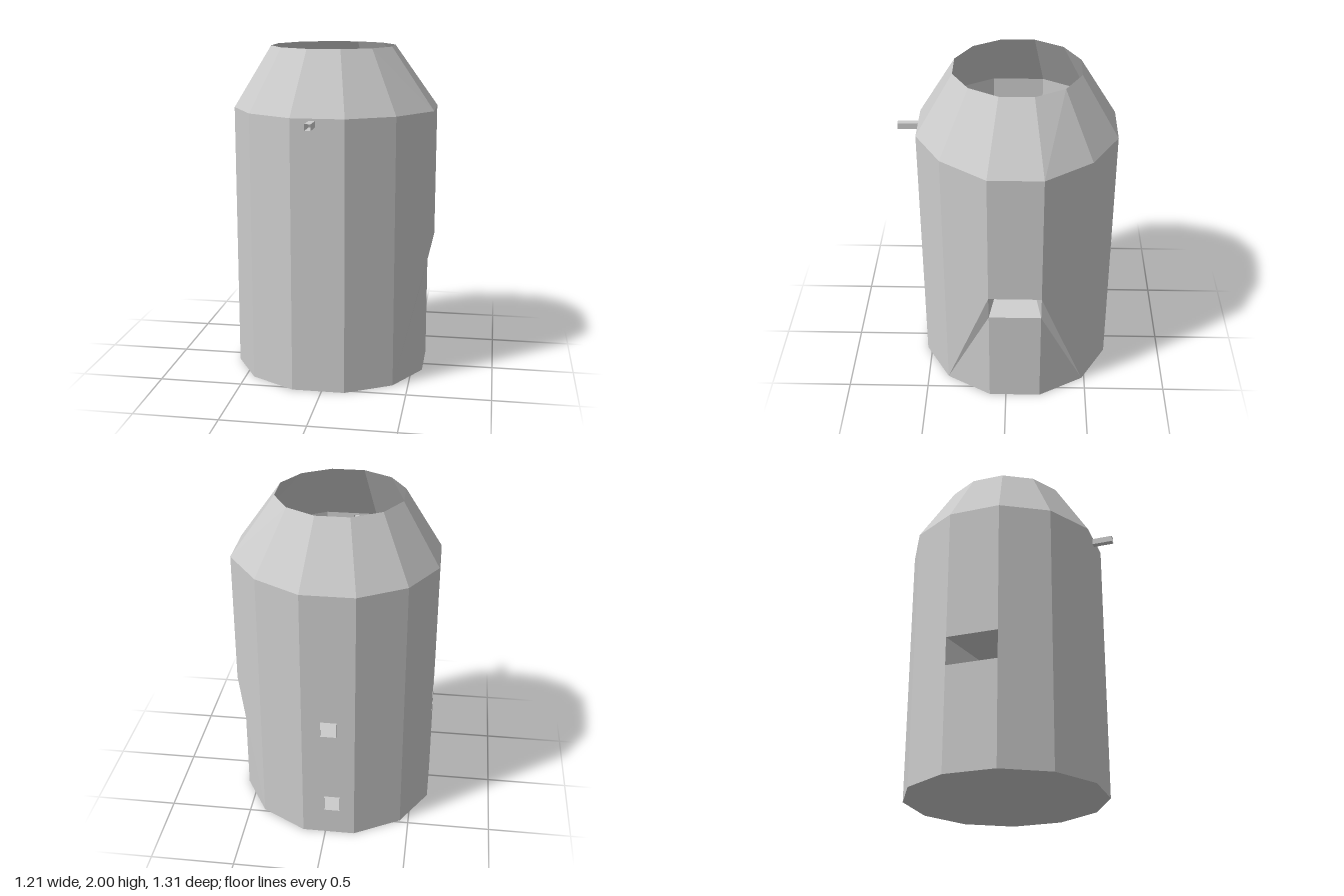
import * as THREE from 'three';

const CX = -0.02, CZ = -0.055;          // axis of the twelve-sided body
const R = 0.606, R_TOP = 0.379;         // body and rim radius
const SHOULDER = 1.63, TOP = 2;
const SLOT_LOW = 0.635, SLOT_HIGH = 0.81;

const material = new THREE.MeshStandardMaterial({
  color: 0xcccccc, flatShading: true, side: THREE.DoubleSide,
});

// Mesh from convex polygons, each fanned out from its first corner
function polyMesh(name, polys) {
  const pos = [];
  for (const p of polys) {
    for (let i = 1; i < p.length - 1; i++) pos.push(...p[0], ...p[i], ...p[i + 1]);
  }
  const g = new THREE.BufferGeometry();
  g.setAttribute('position', new THREE.Float32BufferAttribute(pos, 3));
  g.computeVertexNormals();
  const m = new THREE.Mesh(g, material);
  m.name = name;
  return m;
}

// Corner k of the body at height y; the +x side steps out above its slot
function corner(k, y, r = R) {
  const i = (k + 12) % 12;
  const a = THREE.MathUtils.degToRad(15 + 30 * i);
  const step = (i === 0 || i === 11) && y >= SLOT_HIGH && y < TOP ? 0.04 : 0;
  return [CX + r * Math.cos(a) + step, y, CZ + r * Math.sin(a)];
}

function strip(k, y0, y1) {
  return [corner(k + 1, y0), corner(k, y0), corner(k, y1), corner(k + 1, y1)];
}

// Flat front (s = 1) or back (s = -1) panel with rectangular holes
function piercedPanel(name, s, k, holes) {
  const half = R * Math.sin(Math.PI / 12);
  const rect = (path, x0, x1, y0, y1) => path.moveTo(s * x0, y0)
    .lineTo(s * x1, y0).lineTo(s * x1, y1).lineTo(s * x0, y1).closePath();
  const shape = rect(new THREE.Shape(), CX - half, CX + half, 0, SHOULDER);
  for (const h of holes) shape.holes.push(rect(new THREE.Path(), ...h));
  const g = new THREE.ShapeGeometry(shape);
  if (s < 0) g.rotateY(Math.PI);
  g.translate(0, 0, corner(k, 0)[2]);
  const m = new THREE.Mesh(g, material);
  m.name = name;
  return m;
}

// Open square sleeve around a hole
function sleeve(name, [x0, x1, y0, y1], z0, z1) {
  const c = [[x0, y0], [x1, y0], [x1, y1], [x0, y1]];
  return polyMesh(name, c.map(([x, y], i) => {
    const [u, v] = c[(i + 1) % 4];
    return [[x, y, z0], [u, v, z0], [u, v, z1], [x, y, z1]];
  }));
}

// Tapered pocket: flat ceiling, sloping floor, narrowing to a small end wall
function pocket(name, k, innerX) {
  const outer = [corner(k, SLOT_LOW), corner(k + 1, SLOT_LOW),
    corner(k + 1, SLOT_HIGH), corner(k, SLOT_HIGH)];
  const inner = outer.map(([, y, z]) => [innerX,
    y === SLOT_HIGH ? y : 0.765, CZ + Math.sign(z - CZ) * 0.08]);
  const polys = outer.map((p, i) => {
    const j = (i + 1) % 4;
    return [p, outer[j], inner[j], inner[i]];
  });
  polys.push([...inner].reverse());
  return polyMesh(name, polys);
}

export function createModel() {
  const group = new THREE.Group();
  const spout = [-0.068, -0.032, 1.58, 1.617];
  const vents = [[-0.07, 0.025, 0.72, 0.81], [-0.09, 0.005, 0.18, 0.27]];

  // Side walls, split around the two slots
  const walls = [];
  for (let k = 0; k < 12; k++) {
    if (k === 2 || k === 8) continue;
    if (k === 5 || k === 11) {
      walls.push(strip(k, 0, SLOT_LOW), strip(k, SLOT_HIGH, SHOULDER));
    } else if (k === 0) {
      walls.push([corner(1, 0),
        ...[0, SLOT_LOW, SLOT_HIGH, SHOULDER].map((y) => corner(0, y)), corner(1, SHOULDER)]);
    } else if (k === 10) {
      walls.push([corner(10, 0), corner(10, SHOULDER),
        ...[SHOULDER, SLOT_HIGH, SLOT_LOW, 0].map((y) => corner(11, y))]);
    } else {
      walls.push(strip(k, 0, SHOULDER));
    }
  }
  group.add(polyMesh('bodyWalls', walls));
  group.add(piercedPanel('frontPanel', 1, 2, [spout]));
  group.add(piercedPanel('backPanel', -1, 8, vents));

  // Tapered shoulder up to the open rim
  const shoulder = [];
  for (let k = 0; k < 12; k++) {
    const quad = [corner(k + 1, SHOULDER), corner(k, SHOULDER),
      corner(k, TOP, R_TOP), corner(k + 1, TOP, R_TOP)];
    if (k === 0) quad.push(quad.shift());
    shoulder.push(quad);
  }
  group.add(polyMesh('shoulder', shoulder));

  // Floor
  group.add(polyMesh('floor', [Array.from({ length: 12 }, (_, k) => corner(k, 0))]));

  // Side pockets
  group.add(pocket('leftPocket', 11, 0.255));
  group.add(pocket('rightPocket', 5, -0.155));

  // Front spout and back vent frames
  group.add(sleeve('frontSpout', spout, corner(2, 0)[2], 0.655));
  vents.forEach((v, i) => group.add(
    sleeve(i ? 'lowerVent' : 'upperVent', v, corner(8, 0)[2], -0.655)));

  return group;
}
